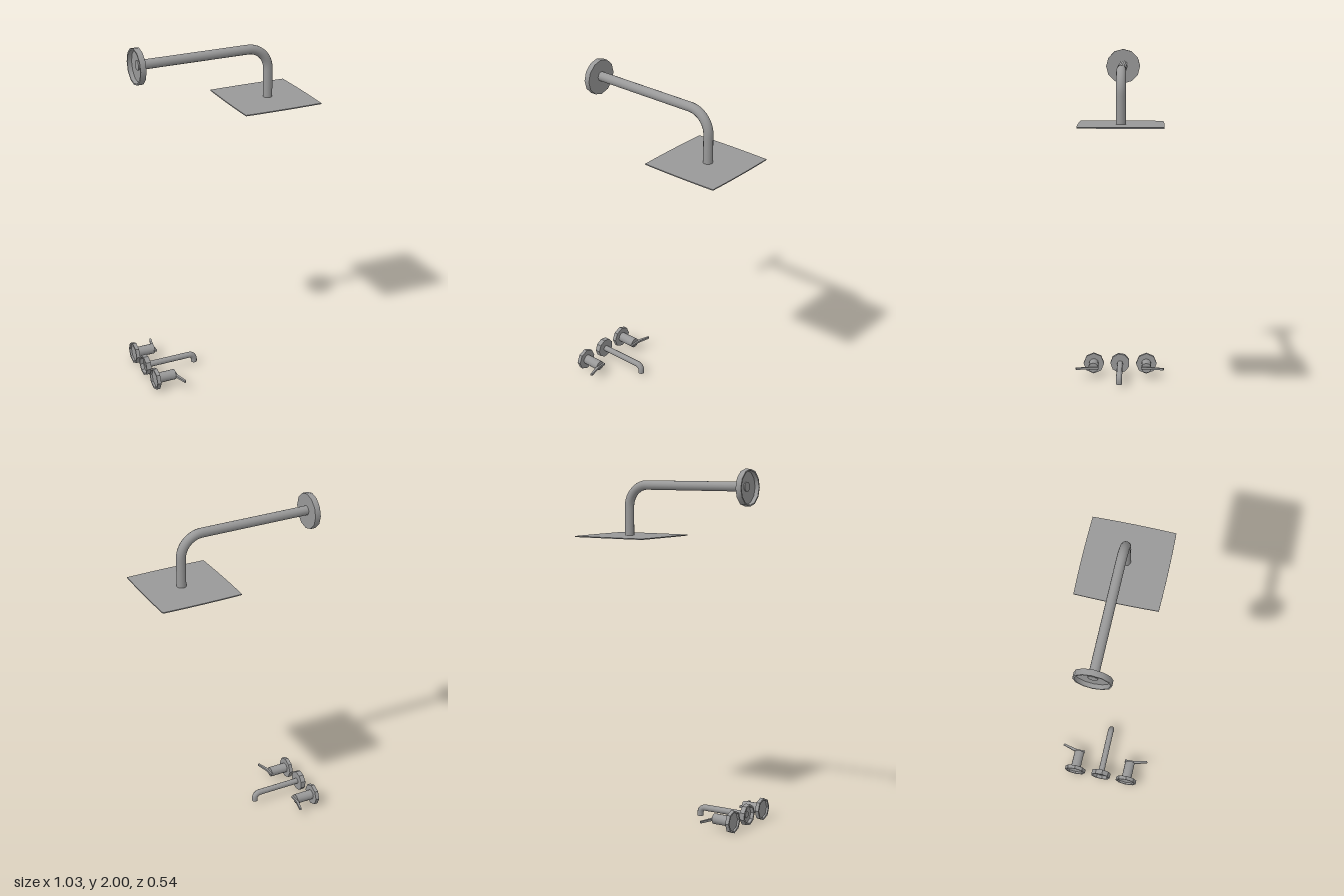
import * as THREE from 'three';
import { toCreasedNormals } from 'three/addons/utils/BufferGeometryUtils.js';

const V = (x, y, z) => new THREE.Vector3(x, y, z);

export function createModel() {
  const chrome = new THREE.MeshStandardMaterial({ color: 0x999999 });
  chrome.name = 'brushedGrey';
  const root = new THREE.Group();
  root.name = 'showerSet';

  const add = (parent, name, geometry, crease = 0.6) => {
    const mesh = new THREE.Mesh(toCreasedNormals(geometry, crease), chrome);
    mesh.name = name;
    parent.add(mesh);
    return mesh;
  };

  // Wall flange: a shallow cup along +x, hollow on the wall side
  const flange = (r, depth, wall, sides) => {
    const profile = [[0, depth - wall], [r - wall, depth - wall], [r - wall, 0], [r, 0], [r, depth], [0, depth]]
      .map(([x, y]) => new THREE.Vector2(x, y));
    return new THREE.LatheGeometry(profile, sides).rotateZ(-Math.PI / 2);
  };

  // Pipe running along +x, then bending down; open tube closed by end discs
  const pipe = (parent, name, x0, x1, yTop, yEnd, z, bend, r, segments, sides) => {
    const path = new THREE.CurvePath();
    const k = bend * 0.45;
    const a = V(x1 - bend, yTop, z), b = V(x1, yTop - bend, z);
    path.add(new THREE.LineCurve3(V(x0, yTop, z), a));
    path.add(new THREE.CubicBezierCurve3(a, V(x1 - k, yTop, z), V(x1, yTop - k, z), b));
    path.add(new THREE.LineCurve3(b, V(x1, yEnd, z)));
    add(parent, name, new THREE.TubeGeometry(path, segments, r, sides), 0.9);
    add(parent, name + 'WallEnd', new THREE.CircleGeometry(r, sides).rotateY(-Math.PI / 2).translate(x0, yTop, z));
    add(parent, name + 'Outlet', new THREE.CircleGeometry(r, sides).rotateX(Math.PI / 2).translate(x1, yEnd, z));
  };

  // Shower arm with its flange
  const shower = new THREE.Group();
  shower.name = 'shower';
  root.add(shower);
  add(shower, 'showerFlange', flange(0.102, 0.033, 0.008, 12)).position.set(-0.515, 1.9, -0.018);
  pipe(shower, 'showerArm', -0.497, 0.289, 1.905, 1.612, -0.019, 0.125, 0.027, 60, 14);

  // Thin square rain head with gently bowed edges
  const h = 0.233, bow = 0.241;
  const plate = new THREE.Shape();
  plate.moveTo(-h, -h);
  plate.quadraticCurveTo(0, -bow, h, -h);
  plate.quadraticCurveTo(bow, 0, h, h);
  plate.quadraticCurveTo(0, bow, -h, h);
  plate.quadraticCurveTo(-bow, 0, -h, -h);
  const head = new THREE.ExtrudeGeometry(plate, { depth: 0.006, bevelEnabled: false, curveSegments: 6 });
  add(shower, 'rainHead', head.rotateX(Math.PI / 2)).position.set(0.275, 1.615, -0.02);

  // Basin spout
  const spout = new THREE.Group();
  spout.name = 'spout';
  root.add(spout);
  add(spout, 'spoutFlange', flange(0.06, 0.03, 0.01, 9)).position.set(-0.515, 0.068, 0);
  pipe(spout, 'spoutPipe', -0.5, -0.19, 0.067, 0.017, 0, 0.032, 0.018, 40, 10);

  // Two taps with levers splayed outwards
  for (const side of [1, -1]) {
    const tap = new THREE.Group();
    tap.name = side > 0 ? 'leftTap' : 'rightTap';
    tap.position.set(0, 0.065, 0.163 * side);
    root.add(tap);
    add(tap, 'tapFlange', flange(0.064, 0.022, 0.01, 8)).position.x = -0.515;
    const body = new THREE.CylinderGeometry(0.03, 0.03, 0.115, 12).rotateZ(-Math.PI / 2);
    add(tap, 'tapBody', body).position.x = -0.4425;

    // Flat lever, bent partway along
    const lever = new THREE.Shape([[-0.39, -0.033], [-0.374, -0.033], [-0.373, 0.027], [-0.355, 0.102], [-0.365, 0.108], [-0.387, 0.037]]
      .map(([x, z]) => new THREE.Vector2(x, z * side)));
    const blade = new THREE.ExtrudeGeometry(lever, { depth: 0.012, bevelEnabled: false });
    add(tap, 'tapLever', blade.rotateX(Math.PI / 2)).position.y = 0.006;
  }
  return root;
}
